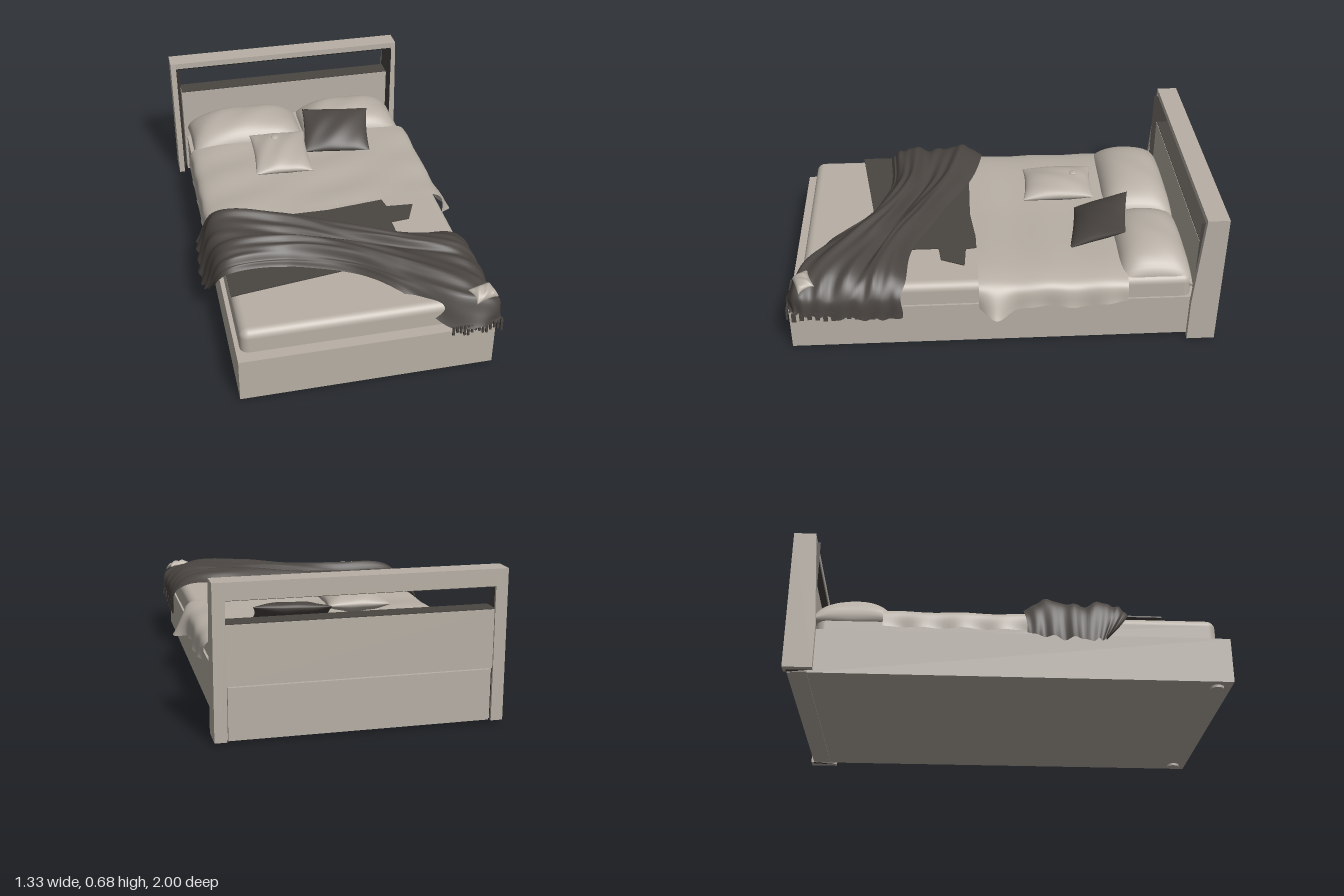
import * as THREE from 'three';
import { mergeVertices } from 'three/addons/utils/BufferGeometryUtils.js';
import { RoundedBoxGeometry } from 'three/addons/geometries/RoundedBoxGeometry.js';

const mat = (name, color, side = THREE.FrontSide) => {
  const m = new THREE.MeshStandardMaterial({ color, side });
  m.name = name;
  return m;
};

export function createModel() {
  const light = mat('warm grey', 0xb8b0a6, THREE.DoubleSide);
  const dark = mat('charcoal', 0x4a4541, THREE.DoubleSide);
  const model = new THREE.Group();
  model.name = 'bed';

  const add = (name, geo, material, parent = model) => {
    const m = new THREE.Mesh(geo, material);
    m.name = name;
    parent.add(m);
    return m;
  };

  // Box given by its limits on each axis
  const box = (name, x0, x1, y0, y1, z0, z1, material, parent) => {
    const m = add(name, new THREE.BoxGeometry(x1 - x0, y1 - y0, z1 - z0), material, parent);
    m.position.set((x0 + x1) / 2, (y0 + y1) / 2, (z0 + z1) / 2);
    return m;
  };

  const extrude = (pts, depth) => new THREE.ExtrudeGeometry(
    new THREE.Shape(pts.map(p => new THREE.Vector2(...p))), { depth, bevelEnabled: false });

  // Profile in (z, y), pushed along x
  const sideProfile = (name, pts, x0, x1, material, parent) => {
    const g = extrude(pts.map(([z, y]) => [-z, y]), x1 - x0).rotateY(Math.PI / 2);
    add(name, g, material, parent).position.x = x0;
  };

  // Outline in (x, z), pushed down from height y
  const planProfile = (name, pts, y, depth, material, parent) => {
    add(name, extrude(pts, depth).rotateX(Math.PI / 2), material, parent).position.y = y;
  };

  // Smooth cloth through rows of points, with a wrinkle rule
  const cloth = (rows, nu, nv, wrinkle) => {
    const curves = rows.map(r => new THREE.CatmullRomCurve3(r.map(p => new THREE.Vector3(...p))));
    const pos = [], index = [];
    for (let i = 0; i <= nu; i++) {
      const across = new THREE.CatmullRomCurve3(curves.map(c => c.getPoint(i / nu)));
      for (let j = 0; j <= nv; j++) {
        const p = across.getPoint(j / nv);
        wrinkle(p, i / nu, j / nv);
        pos.push(p.x, p.y, p.z);
        if (i < nu && j < nv) {
          const a = i * (nv + 1) + j, b = a + nv + 1;
          index.push(a, a + 1, b, b, a + 1, b + 1);
        }
      }
    }
    const g = new THREE.BufferGeometry();
    g.setAttribute('position', new THREE.Float32BufferAttribute(pos, 3));
    g.setIndex(index);
    g.computeVertexNormals();
    return g;
  };

  // Stuffed cushion: a box puffed up in the middle and pinched along its seam
  const cushion = (name, w, h, d, power, pinch, droop, material) => {
    let g = new THREE.BoxGeometry(2, 2, 2, 24, 1, 24);
    g.deleteAttribute('normal');
    g.deleteAttribute('uv');
    const p = g.attributes.position;
    for (let i = 0; i < p.count; i++) {
      // crowd the grid towards the seam so the rim stays round
      const u = Math.sin(p.getX(i) * Math.PI / 2), v = Math.sin(p.getZ(i) * Math.PI / 2);
      const puff = Math.pow(Math.max(0, (1 - u * u) * (1 - v * v)), power);
      const y = p.getY(i) * puff * h / 2 - droop * (u ** 4 + v ** 4) / 2
        + 0.003 * puff * Math.sin(7 * u + 4 * v);
      p.setXYZ(i, u * w / 2 * (1 - pinch * (1 - v * v)), y, v * d / 2 * (1 - pinch * (1 - u * u)));
    }
    g = mergeVertices(g, 1e-4);
    g.computeVertexNormals();
    return add(name, g, material);
  };

  // Base and feet
  box('bedBase', -0.58, 0.57, 0.012, 0.225, -0.9, 0.985, light);
  for (const x of [-0.52, 0.51]) {
    const foot = add('foot', new THREE.CylinderGeometry(0.03, 0.03, 0.02, 20), light);
    foot.position.set(x, 0.01, 0.92);
  }

  // Headboard: posts, top rail, panels and dark lining of the open slot
  const head = new THREE.Group();
  head.name = 'headboard';
  model.add(head);
  const post = [[-1, 0.01], [-0.87, 0.01], [-0.87, 0.22], [-0.898, 0.65], [-0.9, 0.68], [-1, 0.68]];
  sideProfile('rightPost', post, -0.64, -0.612, light, head);
  sideProfile('leftPost', post, 0.587, 0.615, light, head);
  box('topRail', -0.612, 0.587, 0.65, 0.68, -1, -0.9, light, head);
  box('backRail', -0.612, 0.587, 0.605, 0.65, -1, -0.987, light, head);
  sideProfile('railLining', [[-0.905, 0.65], [-0.987, 0.65], [-0.987, 0.6]], -0.612, 0.587, dark, head);
  for (const [x, s] of [[-0.612, 1], [0.587, -1]]) {
    planProfile('postLining', [[x, -0.88], [x, -0.987], [x + s * 0.025, -0.987]], 0.65, 0.64, dark, head);
    box('backStile', Math.min(x, x + s * 0.025), Math.max(x, x + s * 0.025), 0.01, 0.605, -1, -0.987, light, head);
  }
  box('headPanel', -0.592, 0.567, 0.01, 0.503, -0.97, -0.9, light, head);
  box('upperBackPanel', -0.587, 0.562, 0.245, 0.503, -0.992, -0.97, light, head);
  box('lowerBackPanel', -0.58, 0.555, 0.01, 0.238, -0.986, -0.97, light, head);
  box('panelCap', -0.59, 0.565, 0.503, 0.507, -0.988, -0.902, dark, head);

  // Mattress
  add('mattress', new RoundedBoxGeometry(1.12, 0.185, 1.81, 4, 0.04), light).position.set(0, 0.243, 0.025);

  // Duvet hanging over both sides
  const section = [[-0.6, 0.235], [-0.585, 0.315], [-0.5, 0.348], [0, 0.35], [0.5, 0.348], [0.585, 0.315], [0.605, 0.22]];
  const duvetRows = [-0.58, -0.42, -0.25, -0.08, 0.03, 0.11].map(z => section.map(([x, y], k) => {
    if (k === 6 && z === 0.03) return [0.655, 0.19, z];
    return [x, z < -0.5 && k === 6 ? 0.24 : y, z];
  }));
  add('duvet', cloth(duvetRows, 70, 36, (p, u) => {
    const side = Math.abs(u - 0.5) * 2;
    p.y += 0.004 * Math.sin(22 * p.z + 5 * p.x) * Math.sin(6 * p.x + 1);
    p.x += 0.008 * side ** 6 * Math.sin(35 * p.z);
  }), light);

  // Flat dark underlay peeking out beside the throw
  planProfile('underlay', [[-0.56, 0.12], [0, 0.13], [0.28, 0.1], [0.29, 0.16], [0.42, 0.17], [0.37, 0.28],
    [0.28, 0.29], [0.28, 0.5], [-0.05, 0.61], [-0.56, 0.68]], 0.341, 0.007, dark);

  // Rumpled throw lying diagonally across the foot end
  const throwRows = [
    [[-0.65, 0.2, 0.06], [-0.56, 0.35, 0.05], [-0.25, 0.355, 0.13], [0, 0.35, 0.28], [0.28, 0.35, 0.4], [0.53, 0.35, 0.45], [0.6, 0.3, 0.46], [0.61, 0.19, 0.47]],
    [[-0.65, 0.18, 0.15], [-0.56, 0.41, 0.15], [-0.25, 0.425, 0.23], [0, 0.42, 0.36], [0.25, 0.42, 0.48], [0.52, 0.38, 0.56], [0.6, 0.3, 0.56], [0.615, 0.19, 0.58]],
    [[-0.66, 0.17, 0.28], [-0.57, 0.38, 0.28], [-0.25, 0.385, 0.33], [0, 0.38, 0.44], [0.25, 0.385, 0.55], [0.52, 0.37, 0.66], [0.6, 0.3, 0.68], [0.615, 0.2, 0.7]],
    [[-0.65, 0.17, 0.38], [-0.56, 0.4, 0.42], [-0.25, 0.43, 0.43], [0, 0.43, 0.52], [0.22, 0.42, 0.65], [0.5, 0.38, 0.81], [0.595, 0.3, 0.83], [0.61, 0.21, 0.84]],
    [[-0.64, 0.18, 0.41], [-0.56, 0.37, 0.5], [-0.25, 0.38, 0.5], [0, 0.38, 0.6], [0.2, 0.38, 0.75], [0.42, 0.37, 0.92], [0.59, 0.32, 0.94], [0.61, 0.23, 0.94]],
    [[-0.63, 0.19, 0.42], [-0.56, 0.34, 0.53], [-0.25, 0.34, 0.53], [0, 0.34, 0.64], [0.18, 0.34, 0.8], [0.38, 0.23, 0.985], [0.5, 0.24, 0.995], [0.59, 0.23, 0.985]],
  ];
  add('throw', cloth(throwRows, 110, 60, (p, u, v) => {
    const inner = Math.sin(Math.PI * v);
    p.y += inner * (0.008 * Math.sin(34 * v + 7 * u) + 0.005 * Math.sin(55 * v - 16 * u));
    p.z += 0.008 * Math.sin(24 * u) * (1 - inner);
    p.x += 0.006 * Math.sin(45 * v) * Math.abs(2 * u - 1) ** 4;
  }), dark);

  // Fringe on the hanging corner and a light fold showing at it
  const fringe = new THREE.Group();
  fringe.name = 'throwFringe';
  model.add(fringe);
  for (let i = 0; i < 14; i++) {
    const x = 0.37 + i * 0.017, drop = 0.035 + 0.012 * Math.sin(i * 5);
    box('frontTassel', x, x + 0.01, 0.24 - drop, 0.25, 0.985, 0.993, dark, fringe);
    const z = 0.48 + i * 0.036;
    box('sideTassel', 0.605, 0.612, 0.21 - drop / 2, 0.235, z, z + 0.02, dark, fringe);
  }
  const fold = cushion('lightFold', 0.12, 0.03, 0.08, 0.4, 0.1, 0.02, light);
  fold.position.set(0.53, 0.368, 0.915);
  fold.rotation.set(0.35, 0.3, -0.15);

  // Sleeping pillows
  cushion('rightPillow', 0.6, 0.21, 0.35, 0.36, 0.02, 0.06, light).position.set(-0.275, 0.342, -0.715);
  cushion('leftPillow', 0.53, 0.21, 0.34, 0.36, 0.02, 0.06, light).position.set(0.285, 0.338, -0.715);

  // Scatter cushions
  const pale = cushion('paleCushion', 0.29, 0.105, 0.35, 0.5, 0.07, 0, light);
  pale.position.set(-0.15, 0.415, -0.32);
  pale.rotation.set(0.06, -0.06, 0);
  const button = add('cushionButton', new THREE.SphereGeometry(0.02, 16, 8), light, pale);
  button.scale.y = 0.35;
  button.position.set(-0.02, 0.045, -0.08);
  const darkCushion = cushion('darkCushion', 0.35, 0.085, 0.28, 0.5, 0.05, 0, dark);
  darkCushion.position.set(0.18, 0.41, -0.49);
  darkCushion.rotation.set(0.42, -0.17, 0, 'YXZ');

  return model;
}
